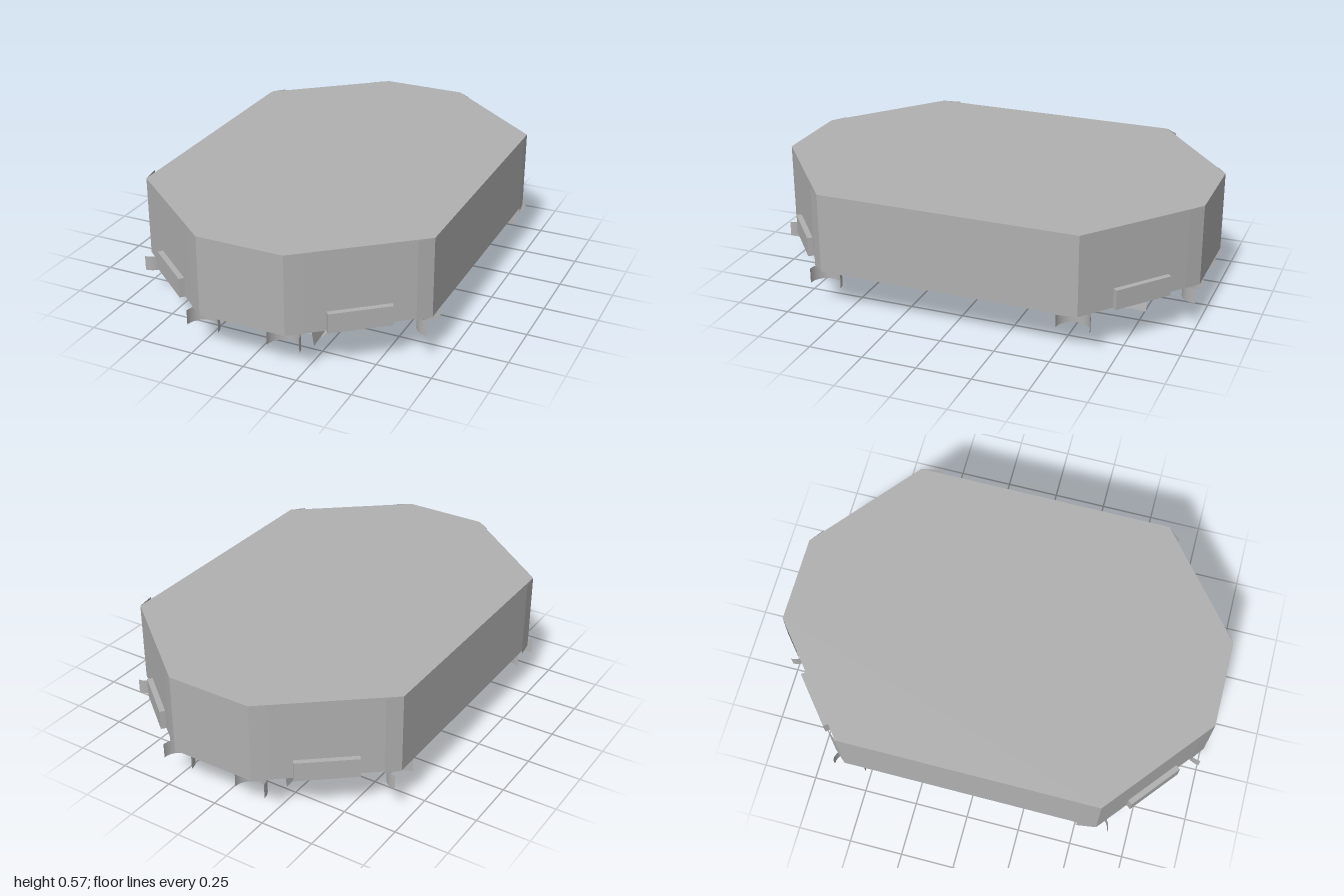
import * as THREE from 'three';

const grey = new THREE.MeshStandardMaterial({ color: 0xb0b0b0, side: THREE.DoubleSide });
grey.name = 'plain grey';

const TOP = 0.57, DECK = 0.2, KEEL = 0.03;

function add(group, name, geometry) {
  const mesh = new THREE.Mesh(geometry, grey);
  mesh.name = name;
  group.add(mesh);
  return mesh;
}

// Flat convex panel from corner points, as a triangle fan
function panel(...pts) {
  const tri = [];
  for (let i = 1; i < pts.length - 1; i++) tri.push(...pts[0], ...pts[i], ...pts[i + 1]);
  const g = new THREE.BufferGeometry();
  g.setAttribute('position', new THREE.Float32BufferAttribute(tri, 3));
  g.computeVertexNormals();
  return g;
}

// Panel with its first corner order turned so that it faces the given direction
function facing(dir, ...pts) {
  const [a, b, c] = pts.map(p => new THREE.Vector3(...p));
  const n = b.clone().sub(a).cross(c.clone().sub(a));
  return panel(...(n.dot(new THREE.Vector3(...dir)) < 0 ? pts.reverse() : pts));
}

export function createModel() {
  const model = new THREE.Group();
  model.name = 'octagonalCase';

  // Long octagonal case
  const outline = new THREE.Shape([
    [0.2, 1], [0.69, 0.6], [0.69, -0.6], [0.2, -1],
    [-0.2, -1], [-0.69, -0.6], [-0.69, 0.6], [-0.2, 1],
  ].map(p => new THREE.Vector2(...p)));
  const body = new THREE.ExtrudeGeometry(outline, { depth: TOP - DECK, bevelEnabled: false });
  body.rotateX(-Math.PI / 2).translate(0, DECK, 0);
  add(model, 'caseBody', body);

  // Slightly flared corner strips, repeated by a half turn
  for (const s of [1, -1]) {
    const strip = (x1, z1, x2, z2) => add(model, 'cornerStrip', facing([s * x1, 0, s * z1],
      [s * x1, DECK, s * z1], [s * x2, DECK, s * z2], [s * x2, TOP, s * z2], [s * x1, TOP, s * z1]));
    strip(-0.69, 0.6, -0.703, 0.51);
    strip(0.69, 0.6, 0.64, 0.657);
    strip(0.2, 1.0, 0.265, 0.952);
    strip(-0.2, 1.0, -0.265, 0.952);
  }

  // Tabs on the four diagonal walls
  const angle = Math.atan2(0.4, 0.49);
  for (const sx of [1, -1]) for (const sz of [1, -1]) {
    const tab = add(model, 'wallTab', new THREE.BoxGeometry(0.28, 0.09, 0.05));
    tab.position.set(sx * 0.445, 0.245, sz * 0.8);
    tab.rotation.y = sx * sz * angle;
  }

  // Half-round feet curving inward from the wall edges
  for (const sx of [1, -1]) for (const sz of [1, -1]) {
    const foot = (x, z, start) => add(model, 'foot',
      new THREE.CylinderGeometry(0.075, 0.075, 0.07, 14, 1, true, start, Math.PI)
    ).position.set(x, 0.17, z);
    foot(sx * 0.19, sz * 0.997, sz > 0 ? Math.PI / 2 : -Math.PI / 2);
    foot(sx * 0.69, sz * 0.58, sx > 0 ? Math.PI : 0);
  }

  // Keel bottom plate
  add(model, 'keelPlate', facing([0, -1, 0],
    [-0.22, KEEL, -0.69], [0.22, KEEL, -0.69], [0.22, KEEL, 0.69], [-0.22, KEEL, 0.69]));

  for (const s of [1, -1]) {
    // Long sloping keel side and the edge beside the plate
    add(model, 'keelSlope', facing([s, -1, 0],
      [s * 0.6, DECK, -0.56], [s * 0.6, DECK, 0.56], [s * 0.27, KEEL, 0.54], [s * 0.27, KEEL, -0.54]));
    add(model, 'keelEdge', facing([0, -1, 0],
      [s * 0.27, KEEL, -0.54], [s * 0.27, KEEL, 0.54], [s * 0.2, KEEL, 0.54], [s * 0.2, KEEL, -0.54]));

    // Sloping middle of each keel end
    add(model, 'keelEnd', facing([0, -1, s],
      [-0.19, DECK, s * 0.77], [0.19, DECK, s * 0.77], [0.21, KEEL, s * 0.54], [-0.21, KEEL, s * 0.54]));

    for (const e of [1, -1]) {
      // End walls closing the slopes, and the upright fins beside them
      add(model, 'keelEndWall', facing([s * 0.3, -0.3, e],
        [s * 0.6, DECK, e * 0.56], [s * 0.27, KEEL, e * 0.54], [s * 0.19, DECK, e * 0.77]));
      add(model, 'keelEndCorner', facing([0, -0.3, e],
        [s * 0.27, KEEL, e * 0.54], [s * 0.2, KEEL, e * 0.54], [s * 0.19, DECK, e * 0.77]));
      add(model, 'keelFin', facing([s, 0, 0],
        [s * 0.2, KEEL, e * 0.54], [s * 0.22, KEEL, e * 0.77], [s * 0.19, DECK, e * 0.77]));
    }
  }

  // Loose skirt under the left slope
  add(model, 'keelSkirt', facing([1, -1, 0],
    [0.61, 0.175, -0.54], [0.61, 0.175, 0.54], [0.265, 0, 0.54], [0.265, 0, -0.54]));

  return model;
}
